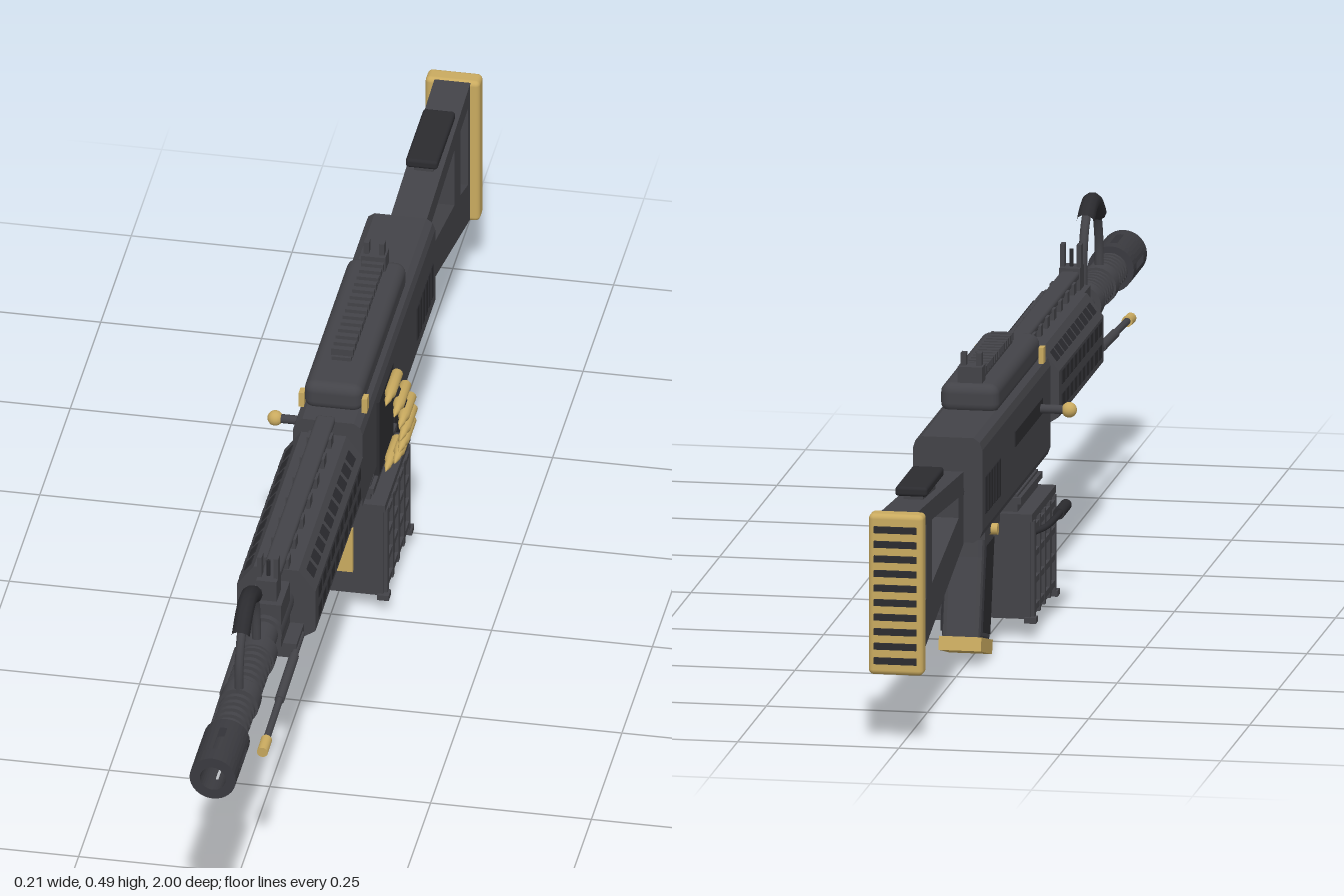
import * as THREE from 'three';
import { RoundedBoxGeometry } from 'three/addons/geometries/RoundedBoxGeometry.js';

export function createModel() {
  const root = new THREE.Group();
  root.name = 'machineGun';
  const g = new THREE.Group();
  g.name = 'assembly';
  g.position.x = 0.006;
  root.add(g);

  const paint = (name, color) => {
    const m = new THREE.MeshStandardMaterial({ color });
    m.name = name;
    return m;
  };
  const steel = paint('gunmetal', 0x434348);
  const black = paint('black', 0x2b2b2f);
  const brass = paint('brass', 0xc9aa5f);

  const V = (x, y, z) => new THREE.Vector3(x, y, z);
  const add = (name, geo, mat) => {
    const m = new THREE.Mesh(geo, mat);
    m.name = name;
    g.add(m);
    return m;
  };
  // Box from its extents in y and z, centred on x
  const box = (name, mat, x, w, y0, y1, z0, z1, r = 0) => {
    const h = y1 - y0, d = z1 - z0;
    const geo = r ? new RoundedBoxGeometry(w, h, d, 3, r) : new THREE.BoxGeometry(w, h, d);
    const m = add(name, geo, mat);
    m.position.set(x, (y0 + y1) / 2, (z0 + z1) / 2);
    return m;
  };
  // Cylinder between two points
  const rod = (name, mat, a, b, ra, rb = ra, seg = 20) => {
    const dir = b.clone().sub(a);
    const m = add(name, new THREE.CylinderGeometry(rb, ra, dir.length(), seg), mat);
    m.position.copy(a).add(b).multiplyScalar(0.5);
    m.quaternion.setFromUnitVectors(V(0, 1, 0), dir.normalize());
    return m;
  };
  const tube = (name, mat, pts, r) =>
    add(name, new THREE.TubeGeometry(new THREE.CatmullRomCurve3(pts), 32, r, 10), mat);
  const shape = (pts) => new THREE.Shape(pts.map((p) => new THREE.Vector2(...p)));
  // Side profile of (z, y) points, extruded across x
  const side = (name, mat, pts, w, holes = [], bevel = 0) => {
    const s = shape(pts);
    holes.forEach((h) => s.holes.push(shape(h)));
    const geo = new THREE.ExtrudeGeometry(s, {
      depth: w - 2 * bevel, bevelEnabled: bevel > 0, bevelSize: bevel,
      bevelThickness: bevel, bevelOffset: -bevel, bevelSegments: 2,
    });
    geo.translate(0, 0, -w / 2 + bevel).rotateY(-Math.PI / 2);
    return add(name, geo, mat);
  };
  // Cross-section of (x, y) points, extruded along z
  const section = (name, mat, pts, z0, z1) => {
    const geo = new THREE.ExtrudeGeometry(shape(pts), { depth: z1 - z0, bevelEnabled: false });
    return add(name, geo.translate(0, 0, z0), mat);
  };

  // Barrel, cooling ribs and collars
  const AY = 0.328;
  rod('barrel', steel, V(0, AY, 0), V(0, AY, 0.9), 0.022);
  for (let i = 0; i < 14; i++) {
    const z = 0.872 - i * 0.0175;
    rod('barrelRib', steel, V(0, AY, z - 0.004), V(0, AY, z + 0.004), 0.028);
  }
  for (const z of [0.775, 0.645]) rod('barrelCollar', steel, V(0, AY, z - 0.016), V(0, AY, z + 0.016), 0.031);
  rod('barrelSleeve', steel, V(0, AY, 0.48), V(0, AY, 0.58), 0.028);
  rod('barrelNut', steel, V(0, AY, 0.05), V(0, AY, 0.1), 0.032);

  // Slotted muzzle, closed rings at both ends and four walls between
  const ringPart = (z0, z1, start, len) => {
    const pts = [[0.02, z0], [0.036, z0], [0.036, z1], [0.02, z1], [0.02, z0]].map((p) => new THREE.Vector2(...p));
    const geo = new THREE.LatheGeometry(pts, Math.ceil(len * 5), start, len).toNonIndexed();
    geo.computeVertexNormals();
    const m = add('muzzle', geo.rotateX(Math.PI / 2), muzzleSteel);
    m.position.y = AY;
  };
  const muzzleSteel = paint('muzzleGunmetal', 0x3a3a3f);
  muzzleSteel.side = THREE.DoubleSide;
  ringPart(0.885, 0.91, 0, Math.PI * 2);
  ringPart(0.97, 1.0, 0, Math.PI * 2);
  for (let i = 0; i < 4; i++) ringPart(0.91, 0.97, i * Math.PI / 2 + 0.16, Math.PI / 2 - 0.32);

  // Arched carrying handle
  tube('handleArch', steel, [V(0, 0.34, 0.785), V(0, 0.4, 0.782), V(0, 0.448, 0.76), V(0, 0.47, 0.72),
    V(0, 0.46, 0.675), V(0, 0.42, 0.648), V(0, 0.34, 0.64)], 0.007);
  tube('handleGrip', black, [V(0, 0.443, 0.772), V(0, 0.465, 0.74), V(0, 0.472, 0.715), V(0, 0.467, 0.69), V(0, 0.452, 0.665)], 0.014);

  // Front sight
  box('sightBase', steel, 0, 0.05, 0.30, 0.375, 0.5, 0.57);
  box('sightBlock', steel, 0, 0.032, 0.375, 0.41, 0.525, 0.56);
  for (const s of [-1, 1]) box('sightEar', steel, s * 0.013, 0.007, 0.41, 0.445, 0.535, 0.55);
  rod('sightPost', black, V(0, 0.4, 0.542), V(0, 0.437, 0.542), 0.003);

  // Folded bipod legs
  box('bipodMount', steel, 0, 0.09, 0.27, 0.295, 0.49, 0.55);
  for (const s of [-1, 1]) {
    rod('bipodLeg', steel, V(s * 0.043, 0.283, 0.5), V(s * 0.043, 0.27, 0.8), 0.0055);
    rod('bipodSleeve', steel, V(s * 0.043, 0.28, 0.56), V(s * 0.043, 0.275, 0.68), 0.0075);
    rod('bipodFoot', brass, V(s * 0.043, 0.27, 0.785), V(s * 0.043, 0.268, 0.82), 0.0085);
  }

  // Octagonal handguard with rows of cooling holes
  section('handguard', steel, [[-0.035, 0.26], [0.035, 0.26], [0.061, 0.277], [0.061, 0.348],
    [0.035, 0.383], [-0.035, 0.383], [-0.061, 0.348], [-0.061, 0.277]], 0.09, 0.48);
  for (let i = 0; i < 10; i++) {
    const z = 0.445 - i * 0.0355;
    for (const s of [-1, 1]) {
      for (const y of [0.334, 0.298]) box('coolingHole', black, s * 0.061, 0.003, y - 0.011, y + 0.011, z - 0.012, z + 0.012, 0.001);
      box('coolingHole', black, s * 0.019, 0.024, 0.2585, 0.261, z - 0.012, z + 0.012);
      const slanted = box('coolingHole', black, s * 0.048, 0.018, 0.364, 0.367, z - 0.012, z + 0.012);
      slanted.rotation.z = -s * 0.93;
    }
  }
  // Gas tube rail above the handguard
  box('gasTube', steel, 0, 0.03, 0.392, 0.405, 0.07, 0.545, 0.005);
  for (let i = 0; i < 7; i++) box('gasTubeClamp', steel, 0, 0.038, 0.38, 0.4, 0.11 + i * 0.058, 0.13 + i * 0.058);

  // Receiver
  section('receiver', steel, [[-0.04, 0.22], [0.04, 0.22], [0.05, 0.227], [0.054, 0.238], [0.054, 0.365],
    [0.05, 0.377], [0.04, 0.384], [-0.04, 0.384], [-0.05, 0.377], [-0.054, 0.365], [-0.054, 0.238], [-0.05, 0.227]], -0.54, 0.055);
  for (const s of [-1, 1]) {
    for (let i = 0; i < 6; i++) {
      const z = -0.393 - i * 0.0235;
      box('ventSlot', black, s * 0.054, 0.004, 0.26, 0.32, z - 0.007, z + 0.007, 0.0018);
    }
    box('coverLatch', brass, s * 0.049, 0.008, 0.38, 0.405, 0, 0.016);
  }
  box('feedPort', black, 0.054, 0.008, 0.22, 0.352, -0.175, -0.06);
  box('handleSlot', black, -0.054, 0.004, 0.308, 0.332, -0.26, -0.02);

  // Feed cover with ridged rail
  box('feedCover', steel, 0, 0.091, 0.378, 0.425, -0.355, 0.02, 0.016);
  box('coverRail', steel, 0, 0.03, 0.42, 0.431, -0.325, -0.055);
  for (let i = 0; i < 14; i++) box('railTooth', steel, 0, 0.034, 0.43, 0.442, -0.07 - i * 0.019, -0.06 - i * 0.019);
  box('rearSight', steel, 0, 0.038, 0.425, 0.45, -0.345, -0.315);
  for (const s of [-1, 1]) box('rearSightEar', steel, s * 0.012, 0.008, 0.448, 0.47, -0.335, -0.322);

  // Charging handle
  rod('chargingRod', steel, V(-0.05, 0.319, -0.04), V(-0.092, 0.319, -0.04), 0.007);
  add('chargingKnob', new THREE.SphereGeometry(0.012, 16, 12), brass).position.set(-0.1, 0.319, -0.04);

  // Ammunition box with ribbed sides
  box('boxNeck', steel, 0, 0.1, 0.19, 0.222, -0.21, -0.03);
  box('boxCollar', steel, 0, 0.112, 0.208, 0.218, -0.215, -0.025);
  box('ammoBox', steel, 0, 0.144, 0.03, 0.19, -0.22, -0.02);
  box('boxLid', steel, 0, 0.15, 0.183, 0.195, -0.225, -0.016);
  box('boxPlate', brass, 0, 0.051, 0.071, 0.148, -0.021, -0.013);
  for (const s of [-1, 1]) {
    for (let i = 0; i < 5; i++) {
      const z = -0.21 + i * 0.045;
      box('boxRib', steel, s * 0.073, 0.009, 0.032, 0.183, z - 0.005, z + 0.005);
    }
    for (let i = 0; i < 4; i++) box('boxRib', steel, s * 0.073, 0.008, 0.04 + i * 0.042, 0.05 + i * 0.042, -0.215, -0.025);
    for (const z of [-0.215, -0.025]) box('boxFoot', steel, s * 0.072, 0.018, 0.024, 0.033, z - 0.01, z + 0.01);
  }
  // Bail on the side of the box
  tube('boxBail', black, [V(-0.068, 0.158, -0.19), V(-0.086, 0.165, -0.178), V(-0.095, 0.17, -0.14), V(-0.095, 0.17, -0.05)], 0.005);
  rod('bailGrip', black, V(-0.094, 0.169, -0.1), V(-0.094, 0.169, -0.035), 0.009);

  // Cartridge belt curving from the feed port down to the box
  const round = [[0, 0], [0.009, 0], [0.009, 0.058], [0.0055, 0.068], [0.0055, 0.076], [0, 0.096]].map((p) => new THREE.Vector2(...p));
  const belt = [[0.066, 0.341], [0.079, 0.322], [0.087, 0.302], [0.089, 0.281], [0.087, 0.259], [0.08, 0.238], [0.066, 0.222]];
  belt.forEach(([x, y], i) => {
    add('cartridge', new THREE.LatheGeometry(round, 12).rotateX(Math.PI / 2), brass).position.set(x, y, -0.165);
    if (i === 0) return;
    const [px, py] = belt[i - 1];
    const link = box('beltLink', black, (x + px) / 2, 0.006, (y + py) / 2 - 0.009, (y + py) / 2 + 0.009, -0.14, -0.118);
    link.rotation.z = Math.atan2(px - x, py - y) * -1;
  });

  // Trigger and guard
  tube('triggerGuard', steel, [V(0, 0.225, -0.23), V(0, 0.165, -0.232), V(0, 0.128, -0.25), V(0, 0.122, -0.28), V(0, 0.14, -0.315)], 0.006);
  tube('trigger', black, [V(0, 0.225, -0.27), V(0, 0.18, -0.278), V(0, 0.15, -0.265)], 0.005);

  // Pistol grip with brass base
  box('gripMount', steel, 0, 0.07, 0.195, 0.225, -0.41, -0.28);
  side('grip', steel, [[-0.293, 0.2], [-0.303, 0.16], [-0.338, 0.018], [-0.43, 0.042], [-0.398, 0.165], [-0.392, 0.2]], 0.06, [], 0.008);
  const panel = [[-0.315, 0.18], [-0.352, 0.035], [-0.418, 0.053], [-0.383, 0.18]];
  side('gripPanel', black, panel, 0.066);
  side('gripBase', brass, [[-0.33, 0.021], [-0.337, 0], [-0.435, 0.026], [-0.43, 0.047]], 0.066);
  rod('gripPin', brass, V(-0.045, 0.2, -0.352), V(0.045, 0.2, -0.352), 0.009);

  // Skeleton stock
  rod('stockNeck', steel, V(0, 0.3, -0.53), V(0, 0.3, -0.575), 0.026);
  side('stock', steel, [[-0.558, 0.335], [-0.968, 0.362], [-0.968, 0.115], [-0.558, 0.222]], 0.056, [
    [[-0.6, 0.304], [-0.835, 0.322], [-0.835, 0.222], [-0.6, 0.272]],
    [[-0.882, 0.325], [-0.945, 0.328], [-0.945, 0.19], [-0.882, 0.21]],
  ]);
  box('cheekRest', black, 0, 0.05, 0.362, 0.377, -0.86, -0.71, 0.005);
  box('cheekRestMount', steel, 0, 0.03, 0.34, 0.365, -0.84, -0.73);
  rod('stockRod', black, V(0, 0.33, -0.78), V(0, 0.15, -0.78), 0.005);
  rod('slingStud', black, V(0, 0.136, -0.78), V(0, 0.152, -0.78), 0.009);

  // Butt plate with grip ribs
  box('buttPlate', brass, 0, 0.085, 0.112, 0.364, -0.995, -0.963, 0.008);
  for (let i = 0; i < 10; i++) {
    const y = 0.135 + i * 0.0228;
    box('buttRib', black, 0, 0.066, y - 0.005, y + 0.005, -1.0, -0.993);
  }
  return root;
}
